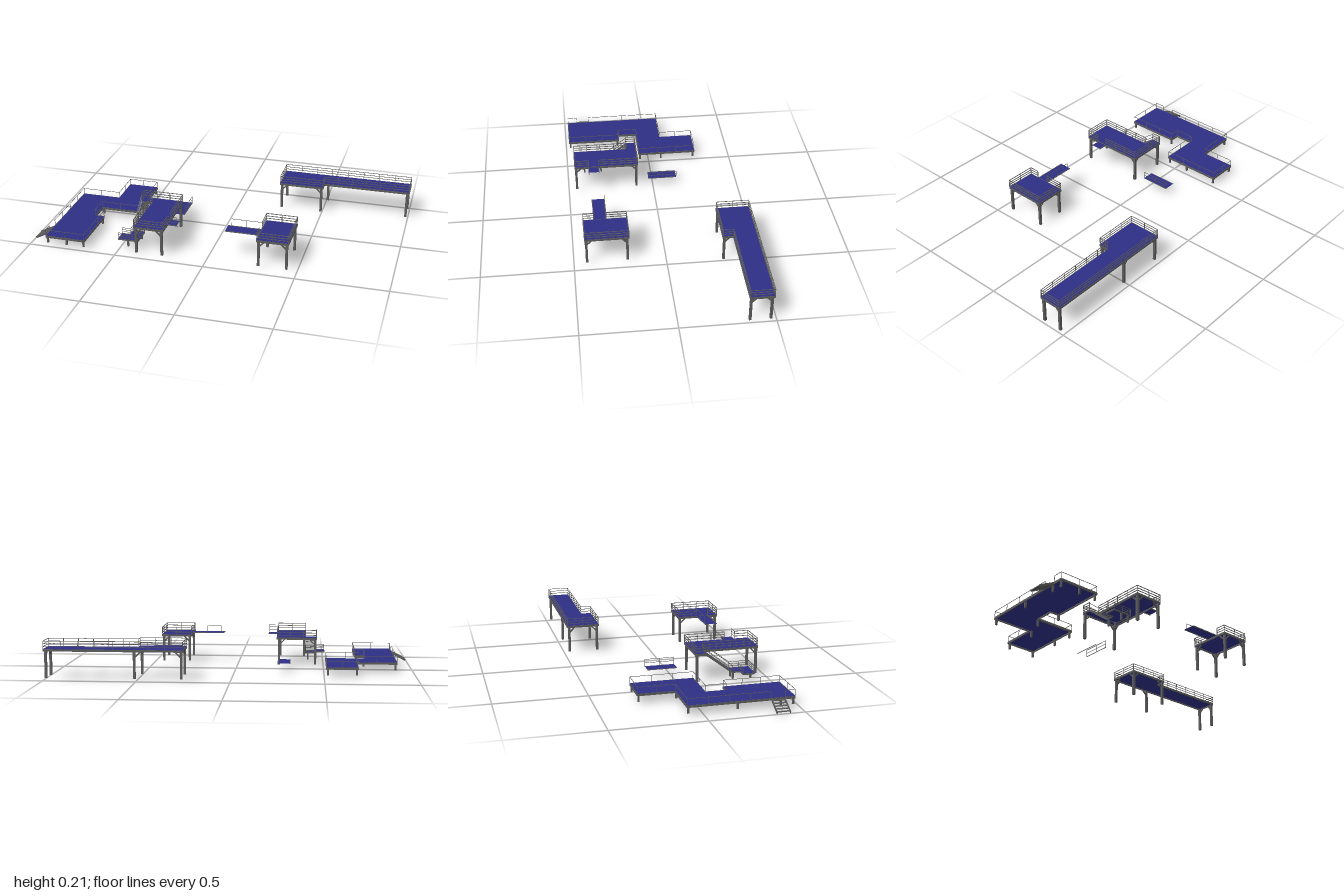
import * as THREE from 'three';

const steel = new THREE.MeshStandardMaterial({ color: 0x5a5a5a });
const blue = new THREE.MeshStandardMaterial({ color: 0x2e2e85 });
const blueSheet = new THREE.MeshStandardMaterial({ color: 0x2e2e85, side: THREE.DoubleSide });
const LEG_BOTTOM = 0.01;

const V = (x, y, z) => new THREE.Vector3(x, y, z);

function group(parent, name) {
  const g = new THREE.Group();
  g.name = name;
  parent.add(g);
  return g;
}

function box(parent, name, w, h, d, x, y, z, mat = steel) {
  const m = new THREE.Mesh(new THREE.BoxGeometry(w, h, d), mat);
  m.name = name;
  m.position.set(x, y, z);
  parent.add(m);
  return m;
}

// Straight bar of width w and height h between two points
function bar(parent, name, a, b, w, h = w) {
  const m = box(parent, name, w, h, a.distanceTo(b), 0, 0, 0);
  m.position.copy(a).add(b).multiplyScalar(0.5);
  m.lookAt(b);
  return m;
}

// Blue floor slab with a steel edge beam along its outline
function deck(parent, pts, top, beamHeight = 0.012) {
  const shape = new THREE.Shape(pts.map(([x, z]) => new THREE.Vector2(x, z)));
  const geo = new THREE.ExtrudeGeometry(shape, { depth: 0.005, bevelEnabled: false });
  geo.rotateX(Math.PI / 2);
  const floor = new THREE.Mesh(geo, blue);
  floor.name = 'floor';
  floor.position.y = top + 0.0005;
  parent.add(floor);
  const y = top - beamHeight / 2;
  pts.forEach(([x, z], i) => {
    const [x2, z2] = pts[(i + 1) % pts.length];
    bar(parent, 'edgeBeam', V(x, y, z), V(x2, y, z2), 0.006, beamHeight);
  });
}

// Guard rail along a polyline: posts plus horizontal bars at the given heights
function rail(parent, pts, base, levels, t = 0.003, spacing = 0.09) {
  const g = group(parent, 'guardRail');
  const top = Math.max(...levels);
  const post = (x, z) => box(g, 'railPost', t, top, t, x, base + top / 2, z);
  post(...pts[0]);
  for (let i = 0; i < pts.length - 1; i++) {
    const [x, z] = pts[i], [x2, z2] = pts[i + 1];
    const n = Math.max(1, Math.round(Math.hypot(x2 - x, z2 - z) / spacing));
    for (let k = 1; k <= n; k++) post(x + (x2 - x) * k / n, z + (z2 - z) * k / n);
    for (const h of levels) bar(g, 'railBar', V(x, base + h, z), V(x2, base + h, z2), t);
  }
}

// Legs given as [x, z, braceDirX, braceDirZ]; a direction of 0 means no brace
function legs(parent, list, top, w = 0.013) {
  for (const [x, z, dx = 0, dz = 0] of list) {
    box(parent, 'leg', w, top - LEG_BOTTOM, w, x, (top + LEG_BOTTOM) / 2, z);
    const low = V(x, top - 0.034, z);
    if (dx) bar(parent, 'kneeBrace', low, V(x + dx * 0.034, top, z), 0.007);
    if (dz) bar(parent, 'kneeBrace', low, V(x, top, z + dz * 0.034), 0.007);
  }
}

// Open stair from the top edge to the bottom edge, width along the side vector
function stair(parent, top, bottom, side, steps) {
  const g = group(parent, 'stair');
  const half = side.clone().multiplyScalar(0.5);
  for (const s of [-1, 1]) {
    const o = half.clone().multiplyScalar(s);
    bar(g, 'stringer', top.clone().add(o), bottom.clone().add(o), 0.004, 0.011);
  }
  const alongX = Math.abs(side.x) > 0;
  const run = Math.hypot(bottom.x - top.x, bottom.z - top.z) / steps * 0.75;
  for (let i = 0; i < steps; i++) {
    const p = top.clone().lerp(bottom, (i + 0.5) / steps);
    const w = side.length();
    box(g, 'tread', alongX ? w : run, 0.003, alongX ? run : w, p.x, p.y, p.z);
  }
  return g;
}

// Thin flat walkway sheet
function sheet(parent, name, x1, x2, z1, z2, y, mat) {
  const m = new THREE.Mesh(new THREE.PlaneGeometry(x2 - x1, z2 - z1).rotateX(-Math.PI / 2), mat);
  m.name = name;
  m.position.set((x1 + x2) / 2, y, (z1 + z2) / 2);
  parent.add(m);
}

export function createModel() {
  const model = new THREE.Group();
  model.name = 'workPlatforms';
  const HIGH = 0.167, LOW = 0.054;
  const three = [0.014, 0.028, 0.043];

  // Low angled platform with a short stair
  const low = group(model, 'lowPlatform');
  deck(low, [[-0.909, -0.085], [-0.684, -0.085], [-0.684, -0.283], [-0.513, -0.283], [-0.513, 0.059],
    [-0.737, 0.059], [-0.737, 0.171], [-0.684, 0.171], [-0.684, 0.479], [-0.909, 0.479]], LOW);
  rail(low, [[-0.909, 0.35], [-0.909, -0.085], [-0.684, -0.085], [-0.684, -0.283], [-0.513, -0.283],
    [-0.513, 0.059], [-0.737, 0.059], [-0.737, 0.171], [-0.684, 0.171], [-0.684, 0.479],
    [-0.909, 0.479], [-0.909, 0.425]], LOW, [0.035], 0.002, 0.11);
  legs(low, [[-0.902, 0.472], [-0.79, 0.472], [-0.691, 0.472], [-0.902, 0.178], [-0.691, 0.178],
    [-0.902, -0.077], [-0.677, -0.077], [-0.677, -0.276], [-0.52, -0.276], [-0.52, -0.077],
    [-0.52, 0.052], [-0.73, 0.052], [-0.902, 0.405]], LOW - 0.008, 0.01);
  stair(low, V(-0.911, 0.048, 0.388), V(-0.996, 0.004, 0.388), V(0, 0, 0.07), 5);

  // High platform with stair, lower landing and side balcony
  const mid = group(model, 'stairPlatform');
  deck(mid, [[-0.46, 0.091], [-0.232, 0.091], [-0.232, 0.459], [-0.396, 0.459], [-0.396, 0.144], [-0.46, 0.144]], HIGH);
  rail(mid, [[-0.46, 0.144], [-0.46, 0.091], [-0.232, 0.091], [-0.232, 0.32]], HIGH, three);
  rail(mid, [[-0.232, 0.38], [-0.232, 0.459], [-0.396, 0.459], [-0.396, 0.144]], HIGH, three);
  legs(mid, [[-0.388, 0.452, 1, -1], [-0.243, 0.452, -1, -1], [-0.243, 0.099, -1, 1], [-0.453, 0.099, 1, 0]], HIGH - 0.01);
  stair(mid, V(-0.428, 0.163, 0.144), V(-0.428, 0.05, 0.295), V(0.06, 0, 0), 13);
  for (const x of [-0.459, -0.397])
    for (const h of [0.02, 0.042])
      bar(mid, 'stairHandrail', V(x, 0.163 + h, 0.144), V(x, 0.046 + h, 0.295), 0.0025);

  const landing = group(mid, 'landing');
  deck(landing, [[-0.46, 0.294], [-0.396, 0.294], [-0.396, 0.406], [-0.508, 0.406], [-0.508, 0.342], [-0.46, 0.342]], LOW, 0.008);
  rail(landing, [[-0.396, 0.294], [-0.396, 0.406], [-0.508, 0.406]], LOW, three.map(h => h * 0.8), 0.002, 0.06);
  rail(landing, [[-0.46, 0.294], [-0.46, 0.342], [-0.508, 0.342]], LOW, three.map(h => h * 0.8), 0.002, 0.06);
  legs(landing, [[-0.455, 0.4], [-0.41, 0.4], [-0.455, 0.3], [-0.41, 0.3]], LOW - 0.006, 0.009);

  const balcony = group(mid, 'balcony');
  sheet(balcony, 'balconyFloor', -0.232, -0.178, 0.32, 0.38, HIGH - 0.004, blueSheet);
  for (const z of [0.32, 0.38])
    bar(balcony, 'balconyEdge', V(-0.232, HIGH - 0.006, z), V(-0.176, HIGH - 0.006, z), 0.004);
  bar(balcony, 'balconyLip', V(-0.178, HIGH - 0.006, 0.38), V(-0.17, HIGH - 0.013, 0.38), 0.003);
  rail(balcony, [[-0.232, 0.38], [-0.178, 0.38]], HIGH, three, 0.002);

  // Detached low walkway with one rail
  const walk = group(model, 'smallWalkway');
  sheet(walk, 'walkwayFloor', -0.311, -0.246, -0.139, 0.027, 0.05, blue);
  bar(walk, 'walkwayEdge', V(-0.311, 0.049, -0.139), V(-0.311, 0.049, 0.027), 0.003);
  bar(walk, 'walkwayEdge', V(-0.246, 0.049, -0.139), V(-0.246, 0.049, 0.027), 0.003);
  rail(walk, [[-0.246, -0.139], [-0.246, 0.027]], 0.05, [0.02, 0.04], 0.002);

  // Small high platform with a projecting gangway
  const small = group(model, 'gangwayPlatform');
  deck(small, [[0.281, 0.2], [0.452, 0.2], [0.452, 0.437], [0.281, 0.437]], HIGH);
  rail(small, [[0.281, 0.31], [0.281, 0.2], [0.452, 0.2], [0.452, 0.437], [0.281, 0.437], [0.281, 0.38]], HIGH, three);
  legs(small, [[0.29, 0.429, 1, -1], [0.443, 0.429, -1, -1], [0.443, 0.209, -1, 1], [0.29, 0.209, 1, 1]], HIGH - 0.01);
  const gangway = group(small, 'gangway');
  sheet(gangway, 'gangwayFloor', 0.092, 0.283, 0.31, 0.378, HIGH - 0.001, blueSheet);
  for (const z of [0.31, 0.378])
    bar(gangway, 'gangwayEdge', V(0.092, HIGH - 0.002, z), V(0.283, HIGH - 0.002, z), 0.004);
  rail(gangway, [[0.111, 0.31], [0.281, 0.31]], HIGH, [0.041], 0.002);

  // Long high platform
  const long = group(model, 'longPlatform');
  deck(long, [[0.25, -0.48], [0.998, -0.48], [0.998, -0.356], [0.503, -0.356], [0.503, -0.299], [0.25, -0.299]], HIGH);
  rail(long, [[0.25, -0.48], [0.998, -0.48], [0.998, -0.356], [0.503, -0.356], [0.503, -0.299],
    [0.25, -0.299], [0.25, -0.48]], HIGH, three, 0.0025);
  legs(long, [[0.259, -0.47, 1, 1], [0.51, -0.47, -1, 0], [0.987, -0.47, 0, 1], [0.987, -0.363, 0, -1],
    [0.494, -0.307, -1, -1], [0.259, -0.307, 1, -1]], HIGH - 0.01);

  return model;
}
